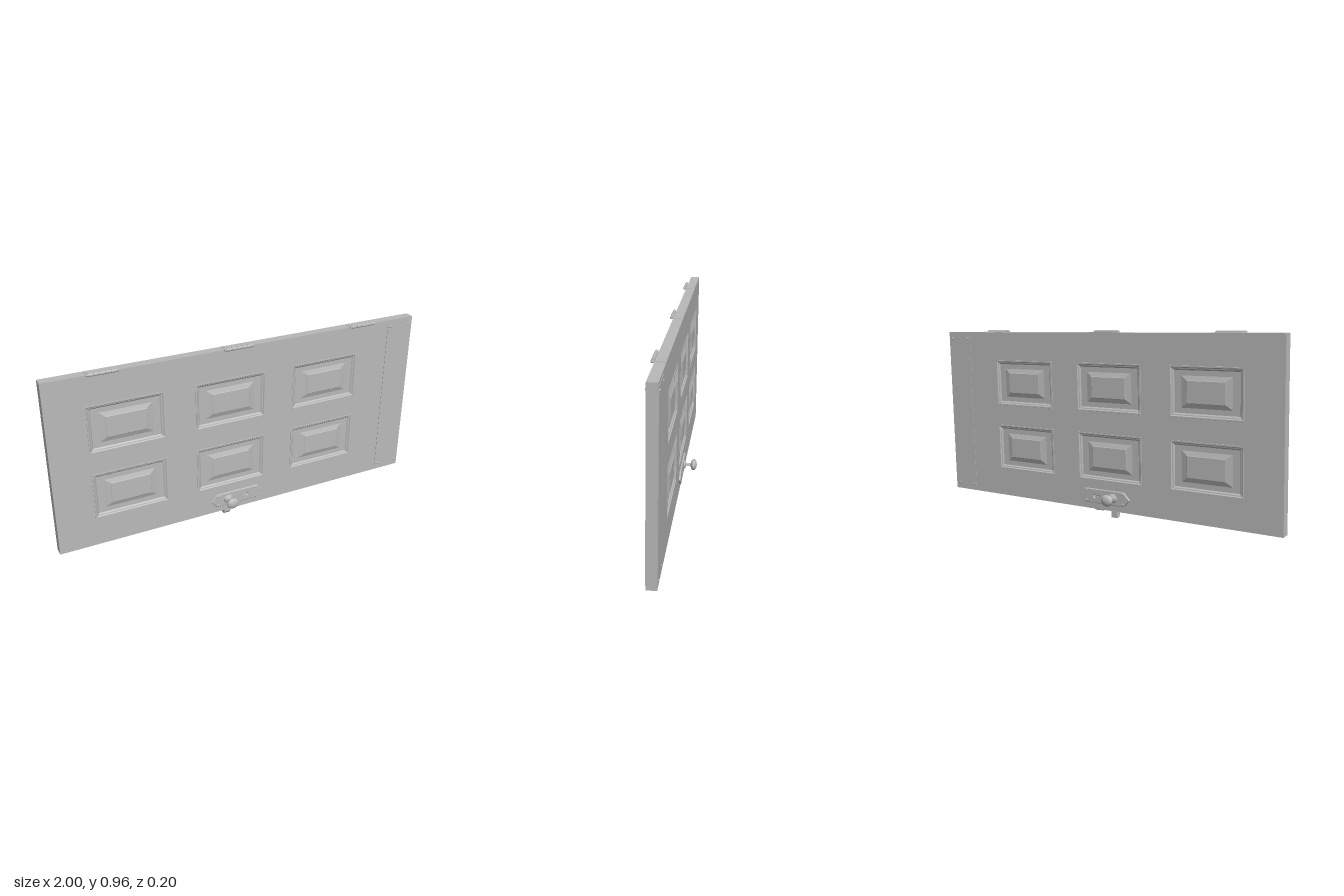
import * as THREE from 'three';

const W = 1.984, H = 0.9, T = 0.048;
const grey = new THREE.MeshStandardMaterial({ color: 0xb8b8b8 });
grey.name = 'grey';

function add(parent, name, geo, x = 0, y = 0, z = 0) {
  const m = new THREE.Mesh(geo, grey);
  m.name = name;
  m.position.set(x, y, z);
  parent.add(m);
  return m;
}

// Nested rectangles, each [inset x, inset y, depth], joined by sloping strips
function panelGeometry(w, h, rings) {
  const pos = [];
  const corners = rings.map(([ix, iy, z]) => {
    const a = w / 2 - ix, b = h / 2 - iy;
    return [[-a, -b, z], [a, -b, z], [a, b, z], [-a, b, z]];
  });
  const quad = (a, b, c, d) => pos.push(...a, ...b, ...c, ...a, ...c, ...d);
  for (let i = 0; i < corners.length - 1; i++) {
    for (let k = 0; k < 4; k++) {
      const n = (k + 1) % 4;
      quad(corners[i][k], corners[i][n], corners[i + 1][n], corners[i + 1][k]);
    }
  }
  quad(...corners[corners.length - 1]);
  const g = new THREE.BufferGeometry();
  g.setAttribute('position', new THREE.Float32BufferAttribute(pos, 3));
  g.computeVertexNormals();
  return g;
}

function polygon(points, Kind = THREE.Shape) {
  return new Kind(points.map(([x, y]) => new THREE.Vector2(x, y)));
}

const rect = (x, y, w, h) => [
  [x - w / 2, y - h / 2], [x + w / 2, y - h / 2], [x + w / 2, y + h / 2], [x - w / 2, y + h / 2],
];

// Lathe turned so its axis points out of the door face
function turned(profile, segments = 24) {
  const g = new THREE.LatheGeometry(profile.map(([r, z]) => new THREE.Vector2(r, z)), segments);
  return g.rotateX(Math.PI / 2);
}

function screw(parent, x, y, z) {
  add(parent, 'screw', turned([[0.007, 0], [0.006, 0.002], [0.003, 0.0038], [0, 0.0042]], 12), x, y, z);
}

export function createModel() {
  const root = new THREE.Group();
  root.name = 'door';
  const door = new THREE.Group();
  door.name = 'doorLeaf';
  door.position.set(0, 0.485, -0.004);
  door.rotation.set(-0.0165, 0, -0.0161);
  root.add(door);

  // Slab with six openings
  const PW = 0.374, PH = 0.24;
  const centres = [];
  for (const x of [-0.613, -0.076, 0.461]) for (const y of [-0.178, 0.177]) centres.push([x, y]);
  const slab = polygon(rect(0, 0, W, H));
  for (const [x, y] of centres) slab.holes.push(polygon(rect(x, y, PW, PH).reverse(), THREE.Path));
  const slabGeo = new THREE.ExtrudeGeometry(slab, { depth: T, bevelEnabled: false });
  add(door, 'slab', slabGeo, 0, 0, -T / 2);

  // Moulded frame, sunk border and raised field
  const panelGeo = panelGeometry(PW, PH, [
    [-0.003, -0.003, -0.001], [-0.002, -0.002, 0.002], [0.004, 0.004, 0.002], [0.008, 0.008, -0.003],
    [0.013, 0.013, -0.004], [0.019, 0.019, -0.01], [0.056, 0.044, -0.01],
    [0.086, 0.066, -0.002], [0.088, 0.068, 0.0], [0.09, 0.07, 0.0],
  ]);

  // Escutcheon with pointed ends and a keyhole
  const plate = polygon([
    [-0.152, 0], [-0.118, -0.037], [0.118, -0.037], [0.152, 0], [0.118, 0.037], [-0.118, 0.037],
  ]);
  const keyhole = new THREE.Path();
  keyhole.moveTo(0.028, -0.005);
  keyhole.lineTo(0.028, 0.005);
  keyhole.lineTo(0.05, 0.004);
  keyhole.absarc(0.056, 0, 0.008, Math.PI - 0.5, -Math.PI + 0.5, true);
  keyhole.lineTo(0.05, -0.004);
  plate.holes.push(keyhole);
  const plateGeo = new THREE.ExtrudeGeometry(plate, {
    depth: 0.005, bevelThickness: 0.003, bevelSize: 0.003, bevelOffset: -0.003, bevelSegments: 1, curveSegments: 10,
  });

  // Knob outline from collar to rounded end
  const knobProfile = [[0.024, 0], [0.024, 0.009], [0.019, 0.015], [0.009, 0.018], [0.006, 0.022], [0.006, 0.044]];
  for (let i = 1; i <= 12; i++) {
    const a = -Math.PI / 2 + (i / 12) * Math.PI;
    knobProfile.push([0.0295 * Math.cos(a), 0.059 + 0.0165 * Math.sin(a)]);
  }
  const knobGeo = turned(knobProfile, 32);

  // Everything repeated on both faces; s flips x on the rear
  for (const s of [1, -1]) {
    const side = new THREE.Group();
    side.name = s > 0 ? 'frontFace' : 'backFace';
    side.rotation.y = s > 0 ? 0 : Math.PI;
    door.add(side);
    const z = T / 2;
    for (const [x, y] of centres) add(side, 'raisedPanel', panelGeo, s * x, y, z);

    const lock = new THREE.Group();
    lock.name = 'lockSet';
    lock.position.set(s * -0.044, -0.381, z);
    side.add(lock);
    add(lock, 'escutcheon', plateGeo).scale.x = s;
    for (const x of [-0.11, 0.11]) for (const y of [-0.026, 0.026]) screw(lock, x, y, 0.007);
    const knob = add(lock, 'knob', knobGeo, s * -0.051, 0, 0);
    knob.scale.x = 1.14;

    // Thin plate across the end of the door
    add(side, 'endPlate', new THREE.BoxGeometry(0.148, 0.87, 0.003), s * 0.911, 0, z + 0.0005);
    for (const x of [0.855, 0.967]) for (const y of [-0.413, 0.413]) screw(side, s * x, y, z + 0.002);
  }

  // Three hinges along the upper edge
  for (const x of [-0.713, -0.038, 0.672]) {
    const hinge = new THREE.Group();
    hinge.name = 'hinge';
    hinge.position.set(x, H / 2, 0);
    door.add(hinge);
    add(hinge, 'hingeLeaf', new THREE.BoxGeometry(0.14, 0.003, 0.05), 0, 0.0005, 0.005);
    for (let i = -2; i <= 2; i++) {
      const knuckle = new THREE.CylinderGeometry(0.008, 0.008, 0.025, 14).rotateZ(Math.PI / 2);
      add(hinge, 'knuckle', knuckle, i * 0.027, 0.002, 0.032);
    }
    add(hinge, 'hingePin', new THREE.CylinderGeometry(0.006, 0.006, 0.14, 12).rotateZ(Math.PI / 2), 0, 0.002, 0.032);
    for (const e of [-1, 1]) add(hinge, 'pinTip', new THREE.SphereGeometry(0.007, 12, 8), e * 0.071, 0.002, 0.032);
  }

  // Latch and its plate on the lower edge
  add(door, 'latchPlate', new THREE.BoxGeometry(0.15, 0.003, 0.03), -0.046, -H / 2, 0);
  const bolt = polygon([[-0.014, 0], [0.014, 0], [0.014, -0.036], [-0.002, -0.036], [-0.014, -0.022]]);
  const boltGeo = new THREE.ExtrudeGeometry(bolt, { depth: 0.034, bevelEnabled: false });
  add(door, 'latchBolt', boltGeo, -0.094, -H / 2, -0.017).scale.z = 1;
  const lip = new THREE.CylinderGeometry(0.035, 0.03, 0.008, 24);
  add(door, 'deadboltLip', lip, 0.002, -H / 2 - 0.004, 0).scale.z = 0.45;

  // Latch bolt slopes across the door thickness
  const latch = door.getObjectByName('latchBolt');
  latch.rotation.y = Math.PI / 2;
  latch.position.set(-0.094 - 0.017, -H / 2, 0);
  return root;
}
